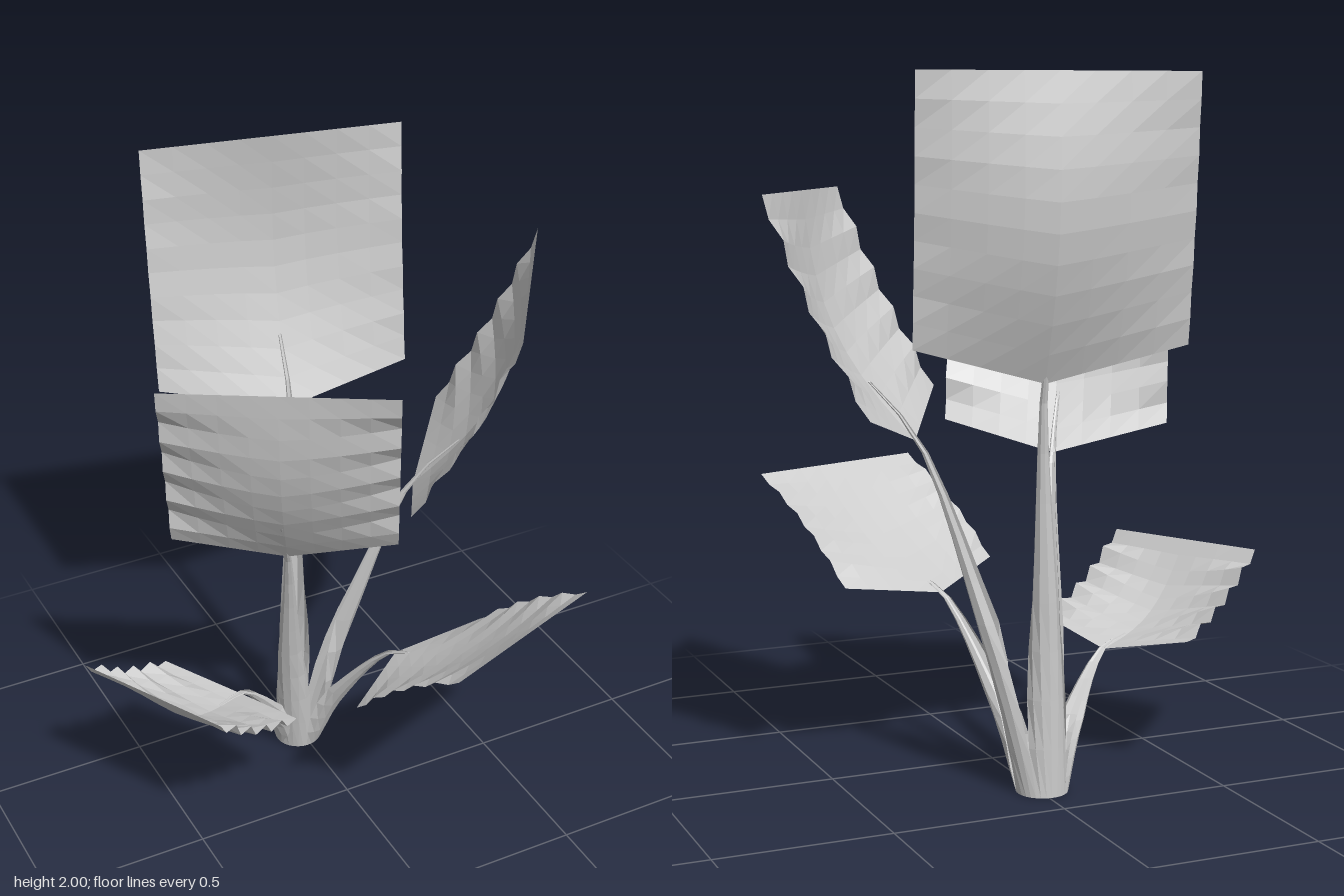
import * as THREE from 'three';

const V = (p) => new THREE.Vector3(...p);
const paleGrey = new THREE.MeshStandardMaterial({ color: 0xcccccc, side: THREE.DoubleSide, flatShading: true });
paleGrey.name = 'pale grey';

// Each leaf: tip corners, base corners and base point, plus its stalk's angles, bend and rib tip
const leaves = [
  { name: 'back', tip: [[-0.34, 2, -0.605], [0.41, 2, -0.45]], base: [[-0.35, 1.27, -0.53], [0.39, 1.27, -0.37]],
    foot: [0.03, 1.17, -0.43], cup: 0.07, arch: -0.01, ripple: 0.002,
    angle: [178, 172], bend: [0.005, 0.5, -0.408], ribTip: [0.035, 1.38, -0.505] },
  { name: 'frontRight', tip: [[-0.57, 1.585, -0.01], [-0.005, 1.585, 0.325]], base: [[-0.48, 1, -0.17], [0.085, 1, 0.155]],
    foot: [-0.17, 0.915, -0.05], cup: 0.06, arch: 0, ripple: 0.009,
    angle: [-38, -30], bend: [-0.105, 0.42, -0.185], ribTip: [-0.23, 1.08, 0.04] },
  { name: 'left', tip: [[0.345, 1.68, 0.35], [0.755, 1.68, -0.235]], base: [[0.11, 1.1, 0.18], [0.52, 1.09, -0.4]],
    foot: [0.29, 0.99, -0.13], cup: 0.065, arch: -0.015, ripple: 0.008,
    angle: [106, 56], bend: [0.15, 0.48, -0.235], ribTip: [0.4, 1.15, -0.05] },
  { name: 'frontLeft', tip: [[0.03, 0.83, 0.605], [0.575, 0.83, 0.405]], base: [[-0.105, 0.55, 0.26], [0.44, 0.545, 0.04]],
    foot: [0.15, 0.51, 0.03], cup: 0.05, arch: 0.02, ripple: 0.005,
    angle: [34, 24], bend: [0.07, 0.22, -0.17], ribTip: [0.19, 0.545, 0.145] },
  { name: 'right', tip: [[-0.755, 0.61, -0.22], [-0.52, 0.61, 0.225]], base: [[-0.435, 0.4, -0.39], [-0.2, 0.4, 0.055]],
    foot: [-0.27, 0.35, -0.19], cup: 0.045, arch: -0.025, ripple: 0.014,
    angle: [-110, -62], bend: [-0.155, 0.18, -0.265], ribTip: [-0.37, 0.375, -0.135] },
];

// Grid surface from a rule point(u, v), u and v in 0..1
function sheet(name, cols, rows, point) {
  const geo = new THREE.PlaneGeometry(1, 1, cols, rows);
  const pos = geo.attributes.position;
  for (let j = 0; j <= rows; j++) {
    for (let i = 0; i <= cols; i++) {
      const p = point(i / cols, j / rows, j);
      pos.setXYZ(j * (cols + 1) + i, p.x, p.y, p.z);
    }
  }
  geo.computeVertexNormals();
  const mesh = new THREE.Mesh(geo, paleGrey);
  mesh.name = name;
  return mesh;
}

// Broad blade: pointed foot, straight tip, hollowed in the middle and rippled along both edges
function blade(l) {
  const [t0, t1] = l.tip.map(V), [b0, b1] = l.base.map(V);
  const across = t1.clone().sub(t0);
  const along = t0.clone().sub(b0);
  const normal = across.cross(along).normalize();
  if (normal.y < 0) normal.negate();
  const footOffset = V(l.foot).sub(b0.clone().lerp(b1, 0.5));
  return sheet(l.name + 'Blade', 8, 10, (u, v, row) => {
    const s = Math.abs(2 * u - 1);
    const p = b0.clone().lerp(b1, u).lerp(t0.clone().lerp(t1, u), v);
    p.addScaledVector(footOffset, (1 - s) * (1 - v));
    const swell = Math.sin(Math.PI * v);
    const wave = v > 0 && v < 1 ? l.ripple * (row % 2 ? -1 : 1) * s * s : 0;
    const lift = swell * (l.arch - l.cup * (1 - Math.pow(s, 1.5)));
    return p.addScaledVector(normal, lift + wave);
  });
}

// Channel-shaped stalk: a sector of the base ring that curls up and narrows into a thin rib
function stalk(l) {
  const rad = THREE.MathUtils.degToRad;
  const ring = 0.074, rib = 0.005;
  const a0 = rad(l.angle[0]), a1 = rad(l.angle[1]);
  const start = new THREE.Vector3(-0.01 + ring * Math.sin(a0), 0, -0.33 + ring * Math.cos(a0));
  const path = new THREE.CatmullRomCurve3([start, V(l.bend), V(l.foot), V(l.ribTip)]);
  return sheet(l.name + 'Stalk', 6, 10, (u, v) => {
    const turn = Math.min(1, v * 2.5);
    const a = THREE.MathUtils.lerp(a0, a1, turn);
    const spread = rad(THREE.MathUtils.lerp(37, 125, turn));
    const r = rib + (ring - rib) * Math.pow(1 - v, 1.5);
    const d = a + (2 * u - 1) * spread;
    const p = path.getPointAt(v);
    p.x += r * (Math.sin(d) - Math.sin(a));
    p.z += r * (Math.cos(d) - Math.cos(a));
    return p;
  });
}

export function createModel() {
  const plant = new THREE.Group();
  plant.name = 'plant';
  for (const l of leaves) {
    const leaf = new THREE.Group();
    leaf.name = l.name + 'Leaf';
    leaf.add(blade(l), stalk(l));
    plant.add(leaf);
  }
  return plant;
}
